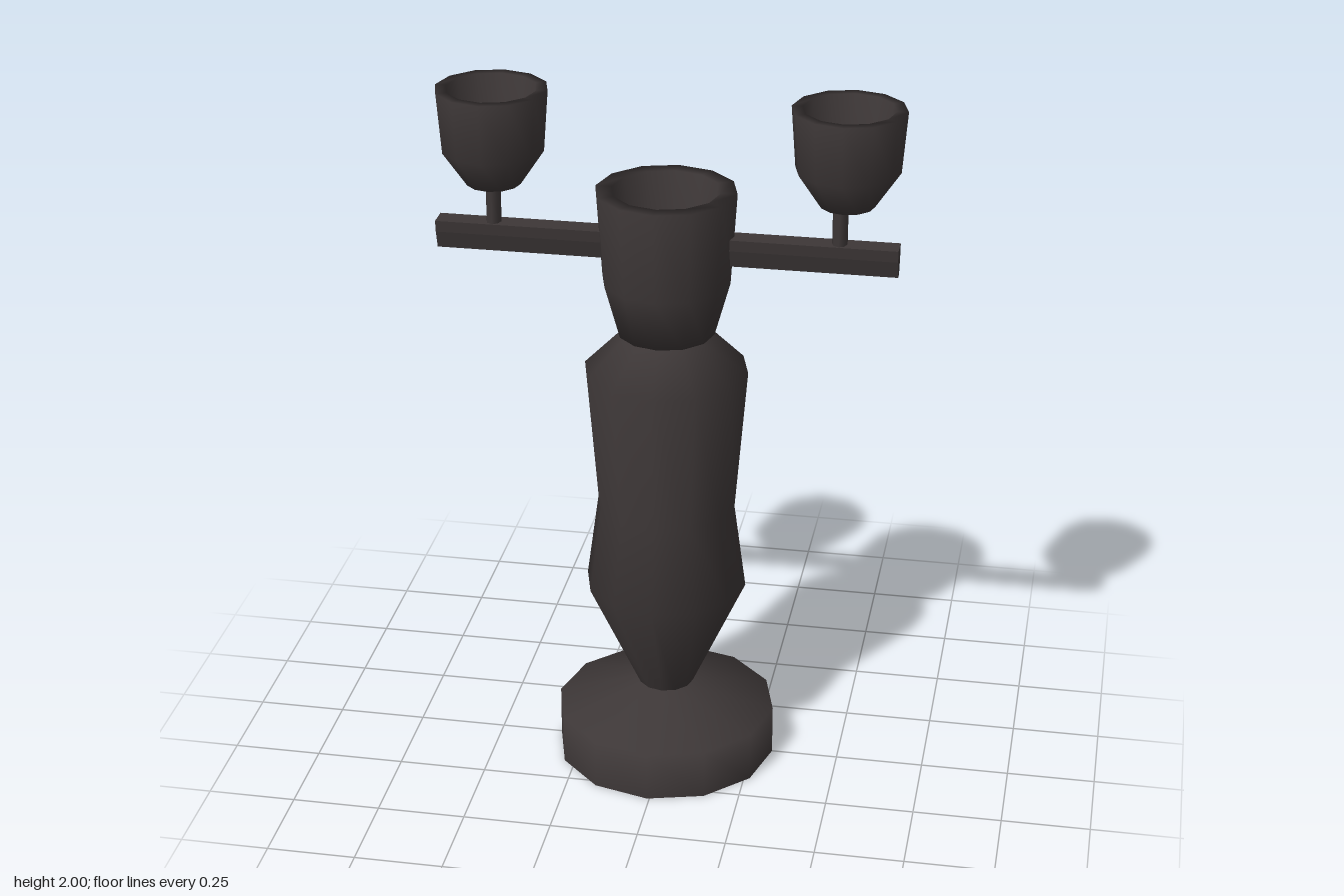
import * as THREE from 'three';

const SIDES = 12;

export function createModel() {
  const group = new THREE.Group();
  const iron = new THREE.MeshStandardMaterial({ color: 0x3d3737 });
  iron.name = 'dark iron';

  const add = (name, geometry, x, y = 0, z = 0) => {
    const mesh = new THREE.Mesh(geometry, iron);
    mesh.name = name;
    mesh.position.set(x, y, z);
    group.add(mesh);
    return mesh;
  };
  // Turned part: profile of [radius, height] running upwards on the outside
  const turned = (name, profile, x) =>
    add(name, new THREE.LatheGeometry(profile.map(([r, y]) => new THREE.Vector2(r, y)), SIDES), x);

  const axis = -0.007;

  // Foot with its flat underside
  turned('foot', [[0.316, 0], [0.316, 0.145], [0.08, 0.22]], axis);
  const underside = add('footUnderside', new THREE.CircleGeometry(0.316, SIDES), axis);
  underside.rotation.x = Math.PI / 2;

  // Waisted column
  turned('column', [[0.075, 0.21], [0.23, 0.55], [0.196, 0.8], [0.23, 1.215], [0.115, 1.33]], axis);

  // Hollow cups: a large one on the column, a small one on each arm
  turned('centreCup', [
    [0, 1.325], [0.135, 1.325], [0.178, 1.48], [0.195, 1.74],
    [0.15, 1.74], [0.135, 1.55], [0.09, 1.45], [0, 1.43],
  ], axis);

  // Arm section narrows towards the bottom
  const section = new THREE.Shape([
    [-0.012, 1.535], [0.012, 1.535], [0.027, 1.585], [0.031, 1.618],
    [-0.031, 1.618], [-0.027, 1.585],
  ].map(([z, y]) => new THREE.Vector2(z, y)));

  for (const side of [-1, 1]) {
    const label = side > 0 ? 'left' : 'right';
    const cupX = side * 0.484;
    turned(label + 'Cup', [
      [0, 1.73], [0.075, 1.73], [0.142, 1.83], [0.155, 2],
      [0.125, 2], [0.115, 1.88], [0.075, 1.81], [0, 1.79],
    ], cupX);

    // Short stem from the arm to the cup
    const stem = new THREE.CylinderGeometry(0.021, 0.021, 0.13, 8);
    add(label + 'Stem', stem, side > 0 ? 0.467 : -0.486, 1.675).scale.z = 1.3;

    // Arm runs from inside the centre cup wall outwards
    const [from, to] = side > 0 ? [0.155, 0.628] : [-0.645, -0.17];
    const arm = new THREE.ExtrudeGeometry(section, { depth: to - from, bevelEnabled: false });
    arm.rotateY(Math.PI / 2);
    add(label + 'Arm', arm, from);
  }
  return group;
}
